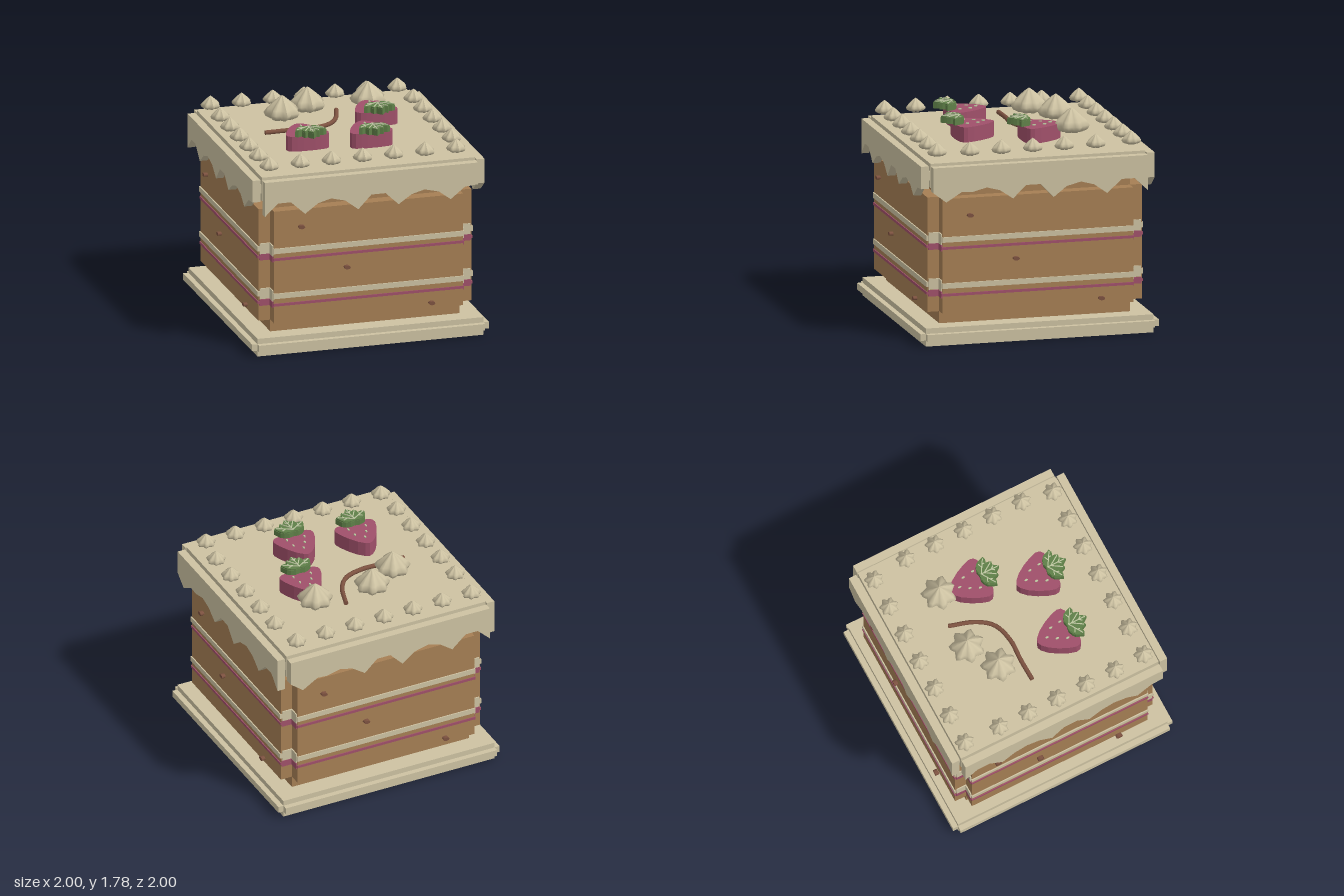
import * as THREE from 'three';

const mat = (name, color, flat = false) => {
  const m = new THREE.MeshStandardMaterial({ color });
  m.name = name;
  m.flatShading = flat;
  return m;
};

export function createModel() {
  const root = new THREE.Group();
  root.name = 'layerCake';
  const cream = mat('cream', 0xcdc2a2);
  const sponge = mat('sponge', 0xa67f54);
  const berry = mat('berry', 0xa0506a);
  const nut = mat('nut', 0x7d5240);
  const green = mat('leafGreen', 0x5f8048);
  const pale = mat('paleGreen', 0xbcc6a0);

  const add = (parent, name, geo, material, x = 0, y = 0, z = 0) => {
    const m = new THREE.Mesh(geo, material);
    m.name = name;
    m.position.set(x, y, z);
    parent.add(m);
    return m;
  };
  // box given by its lower and upper corners
  const box = (parent, name, material, a, b) =>
    add(parent, name, new THREE.BoxGeometry(b[0] - a[0], b[1] - a[1], b[2] - a[2]), material,
      (a[0] + b[0]) / 2, (a[1] + b[1]) / 2, (a[2] + b[2]) / 2);
  const shapeOf = (pts) => new THREE.Shape(pts.map(([x, y]) => new THREE.Vector2(x, y)));
  // flat outline in x and z, reaching from y = 0 up to the given height
  const slab = (shape, height) => new THREE.ExtrudeGeometry(shape, { depth: height, bevelEnabled: false, curveSegments: 8 })
    .rotateX(Math.PI / 2).translate(0, height, 0);
  const mirrored = (half) => [...half, ...half.slice(1, -1).reverse().map(([x, z]) => [-x, z])];

  // board, sponge core and frosting slab
  box(root, 'board', cream, [-0.955, 0, -0.955], [0.955, 0.15, 0.955]);
  box(root, 'spongeCore', sponge, [-0.8, 0.15, -0.8], [0.8, 1.32, 0.8]);
  box(root, 'frostingTop', cream, [-0.9, 1.3, -0.9], [0.9, 1.5, 0.9]);

  // the four sides
  for (let i = 0; i < 4; i++) {
    const side = new THREE.Group();
    side.name = 'side' + (i + 1);
    side.rotation.y = i * Math.PI / 2;
    root.add(side);
    box(side, 'boardTrim', cream, [-0.955, 0.05, 0.955], [0.955, 0.105, 1]);
    box(side, 'spongePanel', sponge, [-0.8, 0.25, 0.8], [0.8, 1.2, 0.9]);
    box(side, 'frostingRib', cream, [-0.88, 1.36, 0.89], [0.88, 1.435, 0.92]);
    for (const y of [0.863, 0.48]) {
      box(side, 'creamLayer', cream, [-0.81, y - 0.045, 0.78], [0.81, y + 0.045, 0.89]);
      box(side, 'creamLip', cream, [-0.805, y - 0.022, 0.88], [0.805, y + 0.022, 0.91]);
    }
    for (const y of [0.792, 0.405]) {
      box(side, 'jamLayer', berry, [-0.81, y - 0.027, 0.78], [0.81, y + 0.026, 0.893]);
      box(side, 'jamLip', berry, [-0.805, y - 0.011, 0.88], [0.805, y + 0.011, 0.908]);
    }
    for (const [x, y] of [[-0.575, 1.06], [-0.19, 0.68], [0.525, 0.305]]) {
      const geo = new THREE.CylinderGeometry(1, 1, 0.033, 8).rotateX(Math.PI / 2).scale(0.027, 0.016, 1);
      add(side, 'nutPiece', geo, nut, x, y, 0.93);
    }
  }

  // dripping frosting skirts, two on each axis
  const drip = [[-0.9, 1.19], [-0.79, 1.295], [-0.68, 1.295], [-0.56, 1.185], [-0.45, 1.265], [-0.34, 1.295],
    [-0.22, 1.265], [-0.11, 1.18], [0, 1.295], [0.12, 1.295], [0.23, 1.19], [0.34, 1.265], [0.45, 1.295], [0.57, 1.265]];
  const skirt = (end) => new THREE.ExtrudeGeometry(
    shapeOf([...drip, ...end, [0.9, 1.48], [-0.9, 1.48]]), { depth: 0.066, bevelEnabled: false });
  for (const turn of [0, -Math.PI / 2]) {
    const pair = new THREE.Group();
    pair.name = 'frostingSkirts';
    pair.rotation.y = turn;
    add(pair, 'skirtNear', skirt([[0.67, 1.19], [0.79, 1.285], [0.9, 1.295]]), cream, 0, 0, 0.914);
    add(pair, 'skirtFar', skirt([[0.66, 1.27], [0.79, 1.19], [0.9, 1.275]]), cream, 0, 0, -0.98);
    root.add(pair);
  }

  // piped cream stars: a lathe whose radius is fluted into seven points
  const profile = [[0, 0], [0.05, 0], [0.073, 0.012], [0.083, 0.03], [0.07, 0.05], [0.045, 0.073], [0.02, 0.094], [0, 0.108]]
    .map(([r, y]) => new THREE.Vector2(r, y));
  const star = new THREE.LatheGeometry(profile, 28);
  const p = star.attributes.position;
  for (let i = 0; i < p.count; i++) {
    const a = Math.atan2(p.getZ(i), p.getX(i));
    const k = 0.86 + 0.14 * Math.cos(7 * (a + 0.2 + p.getY(i) * 2));
    p.setX(i, p.getX(i) * k);
    p.setZ(i, p.getZ(i) * k);
  }
  star.computeVertexNormals();
  for (let i = 0; i < 7; i++) {
    for (const z of [-0.82, 0.81]) add(root, 'creamStar', star, cream, -0.81 + i * 0.263, 1.535, z);
  }
  for (let i = 0; i < 5; i++) {
    for (const x of [-0.82, 0.81]) add(root, 'creamStar', star, cream, x, 1.535, -0.51 + i * 0.264);
  }
  for (const [x, z] of [[-0.37, -0.28], [-0.11, -0.43], [0.4, -0.42]]) {
    add(root, 'largeCreamStar', star, cream, x, 1.58, z).scale.setScalar(1.83);
  }

  // curved chocolate stick
  const path = new THREE.CatmullRomCurve3([[-0.575, -0.08], [-0.38, -0.085], [-0.2, -0.08], [-0.03, -0.13], [0.07, -0.25], [0.145, -0.47]]
    .map(([x, z]) => new THREE.Vector3(x, 1.54, z)));
  add(root, 'chocolateStick', new THREE.TubeGeometry(path, 24, 0.019, 8), nut);
  for (const t of [0, 1]) {
    const cap = add(root, 'stickEnd', new THREE.CircleGeometry(0.019, 8), nut);
    cap.position.copy(path.getPoint(t));
    cap.lookAt(cap.position.clone().addScaledVector(path.getTangent(t), t ? 1 : -1));
  }

  // strawberries with seeds, leaf crown and veins; the tip is the local origin
  const fruit = slab(shapeOf(mirrored([[0, 0], [0.035, 0.015], [0.08, 0.06], [0.125, 0.13], [0.16, 0.205], [0.178, 0.265],
    [0.172, 0.3], [0.145, 0.322], [0.1, 0.33], [0.05, 0.335], [0, 0.335]])), 0.125);
  const crown = mirrored([[0, 0.27], [0.04, 0.262], [0.08, 0.275], [0.105, 0.295], [0.118, 0.325], [0.132, 0.362], [0.105, 0.372],
    [0.075, 0.362], [0.072, 0.385], [0.06, 0.41], [0.035, 0.4], [0.022, 0.42], [0, 0.448]]);
  const leaf = slab(shapeOf(crown), 0.045);
  const leafTop = slab(shapeOf(crown.map(([x, z]) => [x * 0.96, 0.355 + (z - 0.355) * 0.96])), 0.01);
  const seed = new THREE.CylinderGeometry(1, 1, 0.008, 6).scale(0.008, 1, 0.016);
  const vein = (parent, x0, z0, x1, z1) => {
    const geo = new THREE.BoxGeometry(0.008, 0.006, Math.hypot(x1 - x0, z1 - z0));
    add(parent, 'leafVein', geo, pale, (x0 + x1) / 2, 0.193, (z0 + z1) / 2).rotation.y = Math.atan2(x1 - x0, z1 - z0);
  };
  for (const [x, z] of [[-0.35, 0.085], [0.165, 0.165], [0.36, -0.34]]) {
    const g = new THREE.Group();
    g.name = 'strawberry';
    g.position.set(x, 1.525, z);
    root.add(g);
    add(g, 'fruit', fruit, berry);
    add(g, 'leafCrown', leaf, green, 0, 0.135, 0);
    add(g, 'leafCrownTop', leafTop, green, 0, 0.18, 0);
    for (const [sx, sz] of [[0, 0.088], [0.06, 0.152], [-0.045, 0.158], [-0.08, 0.235], [0.073, 0.243]]) {
      add(g, 'seed', seed, pale, sx, 0.133, sz);
    }
    vein(g, 0, 0.28, 0, 0.432);
    for (const s of [-1, 1]) {
      vein(g, 0, 0.285, s * 0.115, 0.355);
      vein(g, 0, 0.31, s * 0.055, 0.395);
      vein(g, s * 0.05, 0.315, s * 0.085, 0.3);
      vein(g, s * 0.07, 0.328, s * 0.075, 0.35);
      vein(g, 0, 0.375, s * 0.02, 0.4);
    }
  }
  return root;
}
